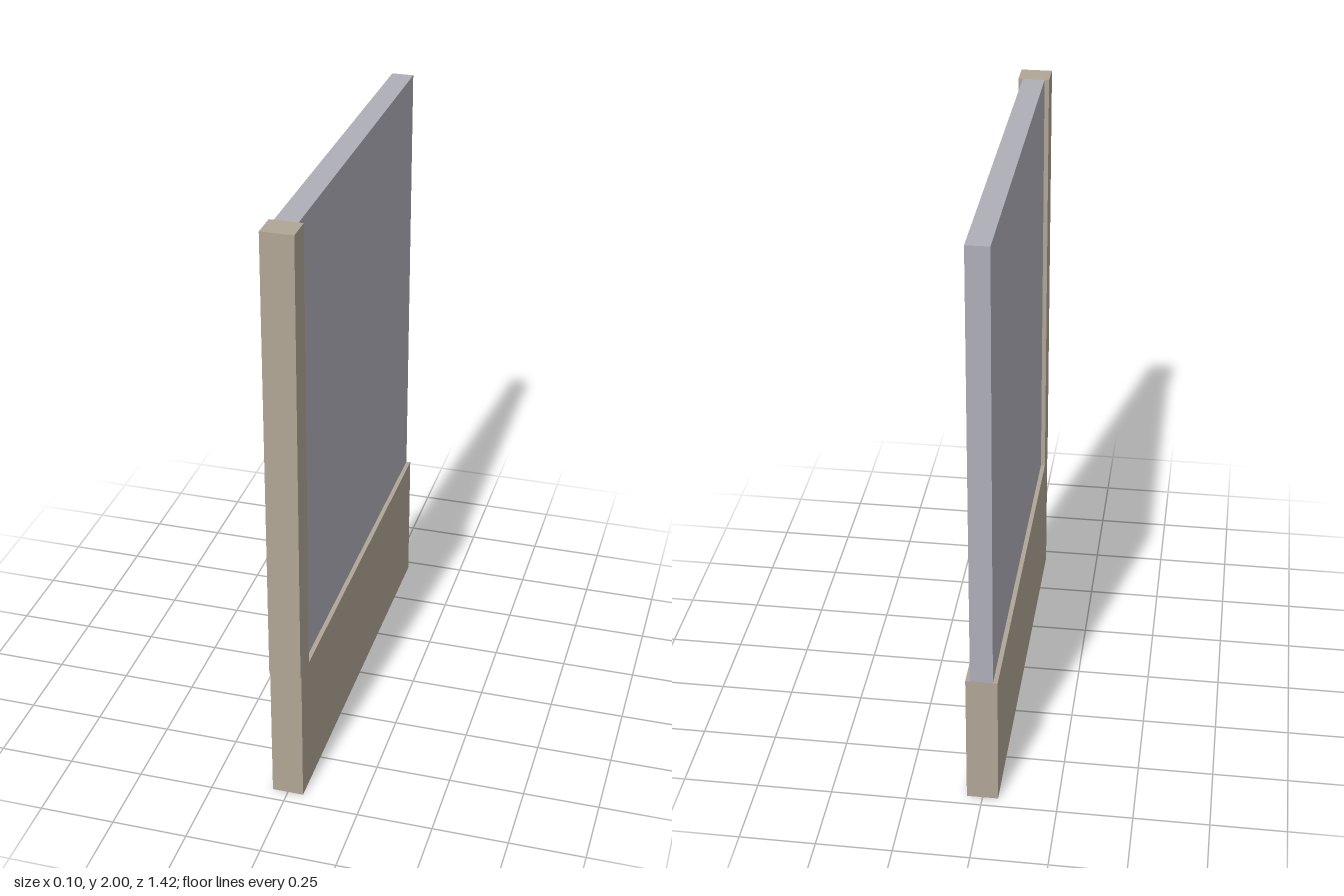
import * as THREE from 'three';

export function createModel() {
  const group = new THREE.Group();
  const stone = new THREE.MeshStandardMaterial({ color: 0xb0a696 });
  const pane = new THREE.MeshStandardMaterial({ color: 0xaeaeb8 });

  // Box given by its half width and its y and z extents
  const slab = (name, material, halfWidth, y0, y1, z0, z1) => {
    const mesh = new THREE.Mesh(new THREE.BoxGeometry(halfWidth * 2, y1 - y0, z1 - z0), material);
    mesh.position.set(0, (y0 + y1) / 2, (z0 + z1) / 2);
    mesh.name = name;
    group.add(mesh);
  };

  // Low wall, set back slightly from the post's front face
  slab('baseWall', stone, 0.052, 0, 0.477, -0.712, 0.703);
  // Upright post at the front end
  slab('frontPost', stone, 0.052, 0.477, 2, 0.621, 0.712);
  // Thinner panel standing on the wall, butting against the post
  slab('panel', pane, 0.037, 0.477, 2, -0.712, 0.621);

  return group;
}
